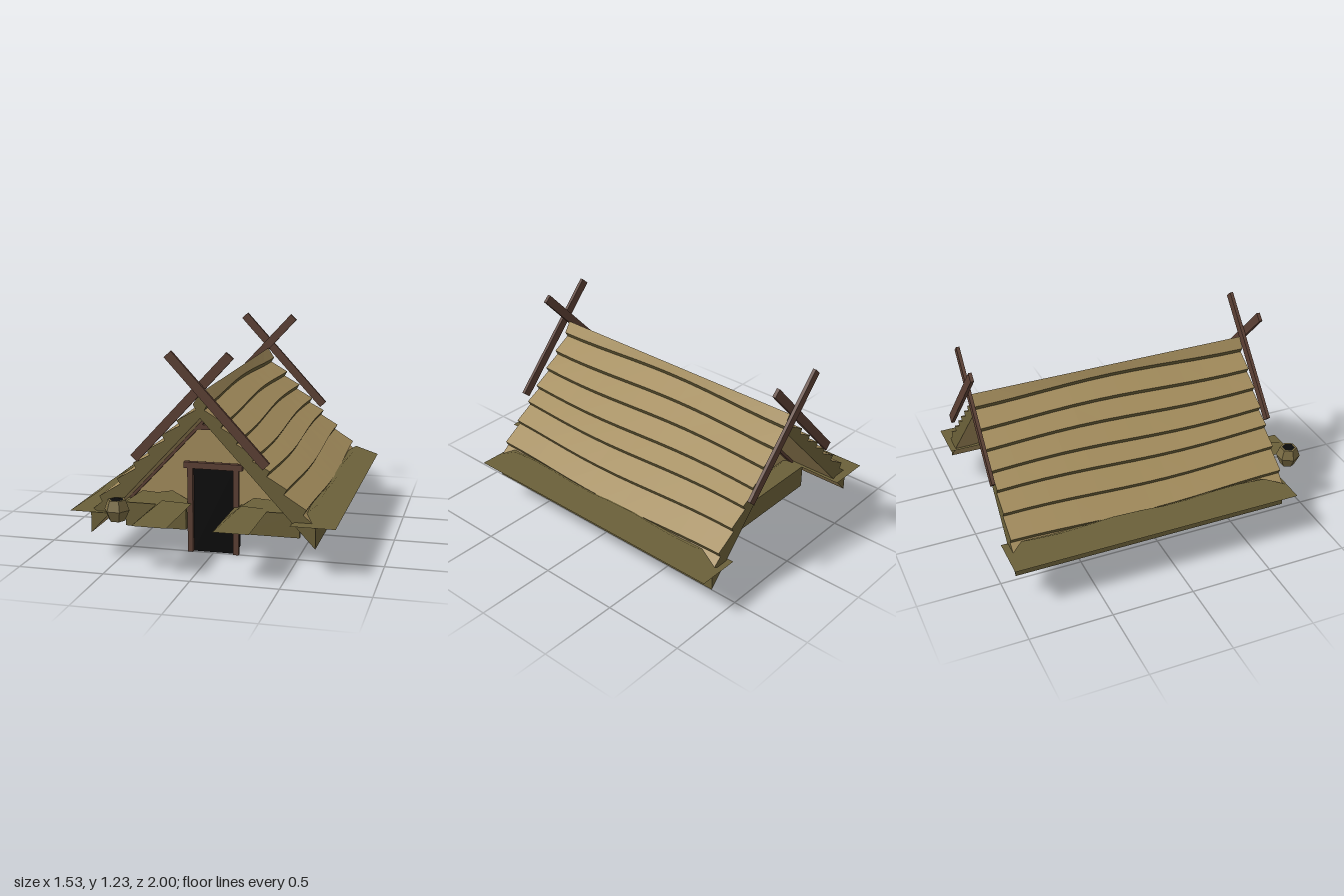
import * as THREE from 'three';

const mat = (name, color, side = THREE.DoubleSide) => {
  const m = new THREE.MeshStandardMaterial({ color, side });
  m.name = name;
  return m;
};

export function createModel() {
  const thatch = mat('thatch', 0xa38c5c);
  const turf = mat('turf', 0x6b6039);
  const wood = mat('wood', 0x5c4034);
  const dark = mat('dark', 0x0b0b0b);
  const clay = mat('clay', 0x786a42);

  const hut = new THREE.Group();
  hut.name = 'thatchedHut';
  const add = (name, geo, material, parent = hut) => {
    const m = new THREE.Mesh(geo, material);
    m.name = name;
    parent.add(m);
    return m;
  };
  const box = (name, material, x0, x1, y0, y1, z0, z1, parent = hut) => {
    const m = add(name, new THREE.BoxGeometry(x1 - x0, y1 - y0, z1 - z0), material, parent);
    m.position.set((x0 + x1) / 2, (y0 + y1) / 2, (z0 + z1) / 2);
    return m;
  };
  // Straight timber between two points of the gable plane
  const timber = (name, x0, y0, x1, y1, width, z, depth) => {
    const m = add(name, new THREE.BoxGeometry(Math.hypot(x1 - x0, y1 - y0), width, depth), wood);
    m.position.set((x0 + x1) / 2, (y0 + y1) / 2, z);
    m.rotation.z = Math.atan2(y1 - y0, x1 - x0);
    return m;
  };
  const polygon = (pts) => new THREE.ShapeGeometry(new THREE.Shape(pts.map((p) => new THREE.Vector2(p[0], p[1]))));

  // Roof: stepped thatch courses with a slight wave along the ridge
  const BACK = -0.95, FRONT = 0.77, STEPS = 12;
  const courseY = [0.945, 0.85, 0.76, 0.665, 0.58, 0.48, 0.37];
  const profile = (z) => {
    const pts = [[0, 1.0]];
    courseY.forEach((y, i) => {
      const w = 0.009 * Math.sin(3.6 * z + 0.5 * i + 2);
      pts.push([0.977 - y - w, y + w], [0.96 - y - w, y - 0.03 + w]);
    });
    pts.push([0.65, 0.29], [0.65, 0.16], [0, 0.86]);
    return pts;
  };
  const strip = (k) => {
    const pos = [];
    for (let j = 0; j < STEPS; j++) {
      const z0 = BACK + ((FRONT - BACK) * j) / STEPS;
      const z1 = BACK + ((FRONT - BACK) * (j + 1)) / STEPS;
      const p = profile(z0), q = profile(z1);
      const a = [...p[k], z0], b = [...p[k + 1], z0], c = [...q[k + 1], z1], d = [...q[k], z1];
      pos.push(...a, ...c, ...b, ...a, ...d, ...c);
    }
    const g = new THREE.BufferGeometry();
    g.setAttribute('position', new THREE.Float32BufferAttribute(pos, 3));
    g.computeVertexNormals();
    return g;
  };
  const eaveFace = 2 * courseY.length + 1;
  for (const side of [1, -1]) {
    const roof = new THREE.Group();
    roof.name = side > 0 ? 'leftRoof' : 'rightRoof';
    roof.scale.x = side;
    hut.add(roof);
    for (let k = 0; k <= eaveFace + 1; k++) {
      if (k === eaveFace) add('eaveFace', strip(k), turf, roof);
      else if (k > eaveFace) add('roofUnderside', strip(k), thatch, roof);
      else if (k % 2) add('courseEdge', strip(k), turf, roof);
      else add('thatchCourse', strip(k), thatch, roof);
    }
    for (const z of [FRONT, BACK]) {
      const cap = add('roofEnd', polygon(profile(z)), turf, roof);
      cap.position.z = z;
      if (z === BACK) {
        cap.geometry.scale(-1, 1, 1);
        cap.rotation.y = Math.PI;
      }
    }
  }

  // Crossed boards above both gables
  for (const [near, far] of [[0.80, 0.78], [-0.99, -0.97]]) {
    timber('gableBoard', 0.38, 0.617, -0.172, 1.215, 0.053, near, 0.02);
    timber('gableBoard', -0.38, 0.617, 0.172, 1.215, 0.053, far, 0.02);
  }

  // Gable walls with rafters, tie beam and smoke hole
  for (const [z, dir] of [[0.45, 1], [-0.62, -1]]) {
    const wall = add('gableWall', polygon([[-0.52, 0.16], [0.52, 0.16], [0.52, 0.3], [0, 0.86], [-0.52, 0.3]]), thatch);
    wall.position.z = z;
    const hole = add('smokeHole', polygon([[-0.075, 0.76], [0.075, 0.76], [0, 0.842]]), dark);
    hole.position.z = z + 0.008 * dir;
    if (dir < 0) wall.rotation.y = hole.rotation.y = Math.PI;
    for (const s of [1, -1]) timber('rafter', 0, 0.85, s * 0.525, 0.285, 0.02, z + 0.015 * dir, 0.03);
    timber('tieBeam', -0.105, 0.745, 0.105, 0.745, 0.03, z + 0.015 * dir, 0.03);
  }

  // Doorway
  box('doorway', dark, -0.122, 0.122, 0, 0.507, 0.34, 0.485);
  for (const s of [1, -1]) box('doorPost', wood, s * 0.137 - 0.016, s * 0.137 + 0.016, 0, 0.507, 0.483, 0.51);
  box('lintel', wood, -0.175, 0.175, 0.505, 0.542, 0.48, 0.513);

  // Turf sheets: flat edges with a raised middle
  const mound = (name, x0, x1, z0, z1, nx, nz, height) => {
    const g = new THREE.PlaneGeometry(x1 - x0, z1 - z0, nx, nz).rotateX(-Math.PI / 2);
    const p = g.attributes.position;
    for (let i = 0; i < p.count; i++) {
      const col = i % (nx + 1), row = Math.floor(i / (nx + 1));
      if (col > 0 && col < nx && row > 0 && row < nz)
        p.setY(i, height + 0.01 * Math.sin(row * 1.4 + col * 2));
    }
    const m = add(name, g, turf);
    m.position.set((x0 + x1) / 2, 0.29, (z0 + z1) / 2);
  };
  for (const s of [1, -1]) {
    const span = (a, b) => (s > 0 ? [a, b] : [-b, -a]);
    mound('eaveMound', ...span(0.51, 0.765), -0.985, 0.8, 2, 11, 0.09);
    mound('entranceMound', ...span(0.13, 0.33), 0.5, 1.0, 2, 2, 0.085);
    mound('frontBerm', ...span(0.152, 0.52), 0.45, 0.56, 4, 2, 0.065);
    box('frontTurfWall', turf, ...span(0.152, 0.52), 0.145, 0.29, 0.52, 0.55);
  }
  mound('backBerm', -0.52, 0.52, -0.72, -0.58, 8, 2, 0.065);
  box('backTurfWall', turf, -0.52, 0.52, 0.145, 0.29, -0.72, -0.69);

  // Clay pot beside the entrance
  const pot = new THREE.Group();
  pot.name = 'pot';
  pot.position.set(-0.44, 0.29, 0.915);
  hut.add(pot);
  const rings = [[0, 0], [0.045, 0], [0.073, 0.062], [0.052, 0.12], [0.04, 0.12]];
  const body = new THREE.LatheGeometry(rings.map((r) => new THREE.Vector2(r[0], r[1])), 6, Math.PI / 2).toNonIndexed();
  body.computeVertexNormals();
  add('potBody', body, clay, pot);
  const mouth = add('potMouth', new THREE.CircleGeometry(0.041, 6), dark, pot);
  mouth.rotation.x = -Math.PI / 2;
  mouth.position.y = 0.119;

  return hut;
}
